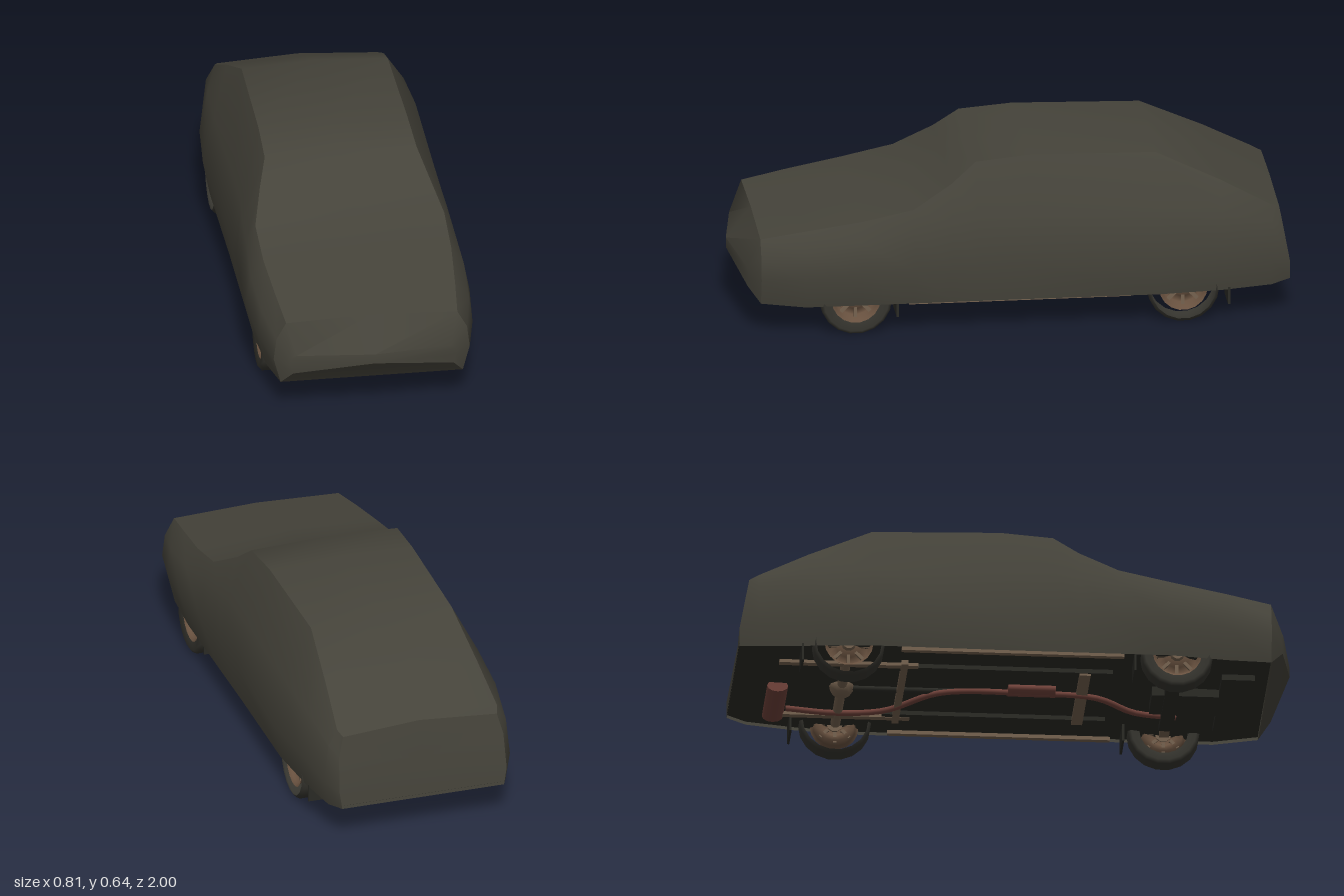
import * as THREE from 'three';
import { toCreasedNormals } from 'three/addons/utils/BufferGeometryUtils.js';

const mat = (name, color, side = THREE.FrontSide) => {
  const m = new THREE.MeshStandardMaterial({ color, side });
  m.name = name;
  return m;
};

// Cross-sections front to back: z, then x,y of hem, waist, shoulder, top edge, then centre height
const SECTIONS = [
  [1.0, 0.29, 0.18, 0.30, 0.21, 0.30, 0.235, 0.28, 0.252, 0.26],
  [0.91, 0.33, 0.125, 0.355, 0.22, 0.345, 0.30, 0.31, 0.363, 0.375],
  [0.75, 0.36, 0.115, 0.388, 0.23, 0.375, 0.33, 0.325, 0.392, 0.405],
  [0.55, 0.375, 0.12, 0.406, 0.25, 0.385, 0.36, 0.34, 0.425, 0.445],
  [0.36, 0.375, 0.12, 0.396, 0.25, 0.375, 0.40, 0.342, 0.465, 0.485],
  [0.22, 0.375, 0.12, 0.39, 0.25, 0.37, 0.42, 0.305, 0.545, 0.565],
  [0.13, 0.375, 0.12, 0.39, 0.25, 0.363, 0.44, 0.275, 0.615, 0.625],
  [-0.06, 0.375, 0.12, 0.39, 0.25, 0.362, 0.44, 0.27, 0.632, 0.645],
  [-0.52, 0.38, 0.12, 0.405, 0.25, 0.365, 0.43, 0.265, 0.622, 0.637],
  [-0.75, 0.36, 0.12, 0.384, 0.25, 0.355, 0.41, 0.285, 0.515, 0.53],
  [-0.93, 0.335, 0.125, 0.35, 0.22, 0.335, 0.36, 0.302, 0.42, 0.44],
  [-1.0, 0.305, 0.135, 0.315, 0.20, 0.31, 0.33, 0.29, 0.405, 0.425],
];

function sectionRing(row, index) {
  const [z, ...p] = row;
  const half = [[p[0], p[1]], [p[2], p[3]], [p[4], p[5]], [p[6], p[7]]];
  const ring = [...half, [0, p[8]], ...half.map(([x, y]) => [-x, y]).reverse()];
  return ring.map(([x, y]) => {
    let pz = z;
    if (index === 0) pz -= 0.55 * x * x;                                  // bowed nose
    if (index === SECTIONS.length - 1) pz += Math.max(0, y - 0.2) * 0.18; // leaning tail
    return new THREE.Vector3(x, y, pz);
  });
}

function geometryFrom(triangles, crease) {
  const g = new THREE.BufferGeometry().setFromPoints(triangles);
  g.computeVertexNormals();
  return toCreasedNormals(g, crease);
}

export function createModel() {
  const cloth = mat('coverCloth', 0x45433a, THREE.DoubleSide);
  const under = mat('underbodyBlack', 0x2a2a25, THREE.DoubleSide);
  const rubber = mat('tyreRubber', 0x35342e, THREE.DoubleSide);
  const rust = mat('exhaustRust', 0x70423a);
  const tan = mat('chassisTan', 0x75624f);
  const steel = mat('wheelBrown', 0x68513f);

  const model = new THREE.Group();
  const add = (name, geo, material, x = 0, y = 0, z = 0, parent = model) => {
    const m = new THREE.Mesh(geo, material);
    m.name = name;
    m.position.set(x, y, z);
    parent.add(m);
    return m;
  };
  const box = (name, w, h, d, material, x, y, z) =>
    add(name, new THREE.BoxGeometry(w, h, d), material, x, y, z);

  // Draped cover lofted through the sections, closed at nose and tail
  const rings = SECTIONS.map(sectionRing);
  const skin = [], floor = [];
  for (let i = 0; i < rings.length - 1; i++) {
    const a = rings[i], b = rings[i + 1];
    for (let j = 0; j < 8; j++) {
      skin.push(a[j], b[j], a[j + 1], a[j + 1], b[j], b[j + 1]);
    }
    const list = i === 0 ? skin : floor;
    list.push(a[8], b[8], a[0], a[0], b[8], b[0]);
  }
  [rings[0], rings[rings.length - 1]].forEach((ring, end) => {
    const centre = ring.reduce((s, v) => s.add(v), new THREE.Vector3()).divideScalar(9);
    if (end === 0) centre.z = 1.0;
    for (let j = 0; j < 9; j++) {
      const p = ring[j], q = ring[(j + 1) % 9];
      skin.push(centre, ...(end === 0 ? [p, q] : [q, p]));
    }
  });
  add('cover', geometryFrom(skin, 0.6), cloth);
  add('underbody', geometryFrom(floor, 0.4), under, 0, 0.012, 0);

  // Wheels: open tyre shell, rim, hub and spokes
  const profile = (pts) => pts.map(([r, y]) => new THREE.Vector2(r, y));
  const frontTyre = new THREE.LatheGeometry(profile(
    [[0.088, -0.03], [0.118, -0.038], [0.13, -0.028], [0.13, 0.028], [0.118, 0.038], [0.088, 0.03]]), 18);
  const rearTyre = new THREE.LatheGeometry(profile(
    [[0.118, -0.038], [0.13, -0.028], [0.13, 0.028], [0.118, 0.038]]), 18);
  const rim = new THREE.LatheGeometry(profile(
    [[0.088, 0.03], [0.078, 0.02], [0.07, -0.01], [0.045, 0.0], [0.03, 0.015], [0.0, 0.015]]), 18);
  const rimMat = steel.clone();
  rimMat.side = THREE.DoubleSide;
  for (const [end, z] of [['front', 0.57], ['rear', -0.61]]) {
    for (const s of [1, -1]) {
      const wheel = new THREE.Group();
      wheel.name = end + 'Wheel';
      wheel.position.set(s * 0.33, 0.137, z);
      wheel.rotation.z = -s * Math.PI / 2;
      add('tyre', end === 'front' ? frontTyre : rearTyre, rubber, 0, 0, 0, wheel);
      add('rim', rim, rimMat, 0, 0, 0, wheel);
      add('hub', new THREE.CylinderGeometry(0.022, 0.03, 0.03, 10), tan, 0, 0.015, 0, wheel);
      for (let k = 0; k < 8; k++) {
        const a = k * Math.PI / 4;
        const spoke = add('rimRib', new THREE.BoxGeometry(0.04, 0.012, 0.012), tan,
          Math.cos(a) * 0.055, 0.002, Math.sin(a) * 0.055, wheel);
        spoke.rotation.y = -a;
      }
      model.add(wheel);
    }
  }

  // Mud flaps, sills and floor rails on both sides
  for (const s of [1, -1]) {
    box('frontMudFlap', 0.12, 0.065, 0.008, under, s * 0.30, 0.097, 0.42);
    box('rearMudFlap', 0.12, 0.065, 0.008, under, s * 0.30, 0.097, -0.775);
    box('sill', 0.02, 0.014, 0.8, tan, s * 0.355, 0.12, -0.02);
    box('floorRail', 0.03, 0.016, 0.8, under, s * 0.2, 0.122, -0.05);
    box('leafSpring', 0.025, 0.012, 0.5, tan, s * 0.22, 0.118, -0.6);
    box('frontArm', 0.14, 0.02, 0.035, tan, s * 0.22, 0.115, 0.57);
  }

  // Axles, cross members and front tray
  const axle = add('rearAxle', new THREE.CylinderGeometry(0.018, 0.018, 0.6, 10), tan, 0, 0.125, -0.61);
  axle.rotation.z = Math.PI / 2;
  add('differential', new THREE.SphereGeometry(0.045, 12, 8), tan, 0, 0.132, -0.61);
  box('frontCrossMember', 0.42, 0.025, 0.05, under, 0, 0.105, 0.57);
  box('rearCrossMember', 0.5, 0.018, 0.025, tan, 0, 0.118, -0.4);
  box('gearboxMember', 0.42, 0.012, 0.04, tan, 0, 0.112, 0.25);
  box('engineSump', 0.16, 0.035, 0.24, under, 0, 0.115, 0.62);
  box('frontTray', 0.44, 0.022, 0.12, under, 0, 0.113, 0.8);
  const shaft = add('driveShaft', new THREE.CylinderGeometry(0.012, 0.012, 0.85, 8), under, 0, 0.125, -0.17);
  shaft.rotation.x = Math.PI / 2;

  // Exhaust pipe and two silencers
  const path = new THREE.CatmullRomCurve3([
    [0.14, 0.115, 0.6], [0.1, 0.11, 0.45], [-0.02, 0.108, 0.3], [-0.04, 0.108, 0.07],
    [-0.02, 0.11, -0.25], [0.16, 0.115, -0.45], [0.19, 0.115, -0.62], [0.17, 0.118, -0.8],
  ].map((p) => new THREE.Vector3(...p)));
  add('exhaustPipe', new THREE.TubeGeometry(path, 40, 0.011, 8), rust);
  const middle = add('middleSilencer', new THREE.CylinderGeometry(0.032, 0.032, 0.17, 12), rust, -0.04, 0.118, 0.07);
  middle.rotation.x = Math.PI / 2;
  middle.scale.z = 0.6;
  const rear = add('rearSilencer', new THREE.CylinderGeometry(0.038, 0.038, 0.26, 12), rust, 0.12, 0.122, -0.84);
  rear.rotation.z = Math.PI / 2;
  rear.scale.x = 0.6;
  return model;
}
